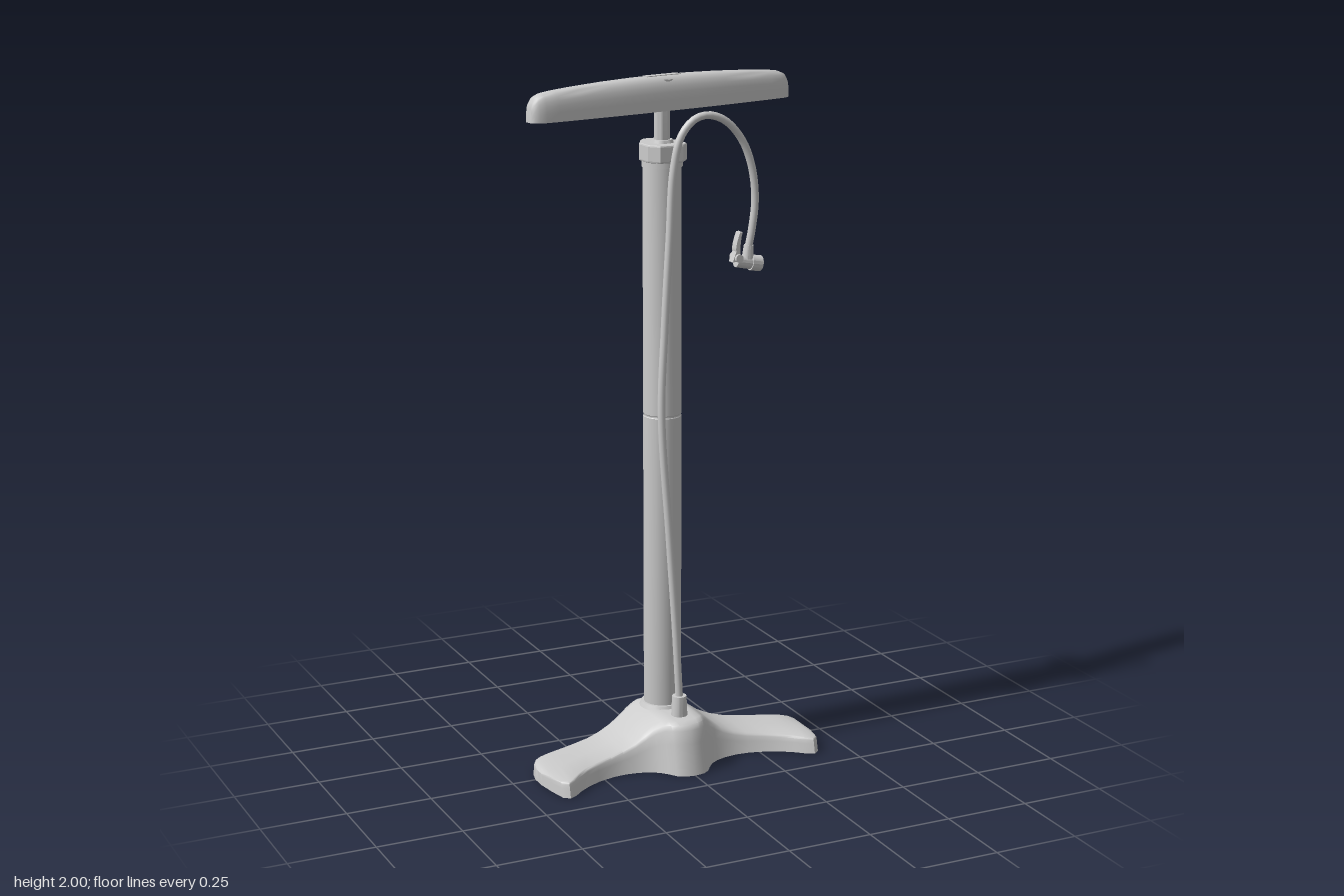
import * as THREE from 'three';
import { toCreasedNormals } from 'three/addons/utils/BufferGeometryUtils.js';

const grey = new THREE.MeshStandardMaterial({ color: 0xcccccc, side: THREE.DoubleSide });
const BORE_Z = -0.055;

function add(parent, name, geometry, x = 0, y = 0, z = 0) {
  const mesh = new THREE.Mesh(geometry, grey);
  mesh.name = name;
  mesh.position.set(x, y, z);
  parent.add(mesh);
  return mesh;
}

const cyl = (r1, r2, h, n = 24) => toCreasedNormals(new THREE.CylinderGeometry(r1, r2, h, n), 0.7);

// Mirrors stations [x, ...] about x = 0
const mirror = s => [...s.slice(1).reverse().map(([x, ...r]) => [-x, ...r]), ...s];

// Open-bottomed shell lofted along x; section(station, inset) gives [z, y] points front to back
function shell(stations, section, wall) {
  const rings = stations.map(s => {
    const outer = section(s, 0).map(([z, y]) => [s[0], y, z]);
    const inner = section(s, wall).map(([z, y]) => [s[0] * 0.98, y, z]).reverse();
    return [...outer, ...inner];
  });
  const n = rings[0].length, pos = [], idx = [];
  rings.forEach(r => r.forEach(p => pos.push(...p)));
  for (let i = 0; i < rings.length - 1; i++) {
    for (let j = 0; j < n; j++) {
      const k = (j + 1) % n, a = i * n + j, b = a + n, c = (i + 1) * n + k, d = i * n + k;
      idx.push(a, b, c, a, c, d);
    }
  }
  const g = new THREE.BufferGeometry();
  g.setAttribute('position', new THREE.Float32BufferAttribute(pos, 3));
  g.setIndex(idx);
  return toCreasedNormals(g, 0.75);
}

// Thin upright plate between two floor points
function plate(parent, name, [x1, z1], [x2, z2], y, h, t = 0.008) {
  const m = add(parent, name, new THREE.BoxGeometry(Math.hypot(x2 - x1, z2 - z1), h, t),
    (x1 + x2) / 2, y + h / 2, (z1 + z2) / 2);
  m.rotation.y = -Math.atan2(z2 - z1, x2 - x1);
}

function makeBase() {
  const base = new THREE.Group();
  base.name = 'base';
  // x, front z, back z, height
  const half = [
    [0, 0.17, -0.157, 0.15], [0.03, 0.165, -0.156, 0.15], [0.05, 0.152, -0.155, 0.149],
    [0.065, 0.13, -0.153, 0.143], [0.085, 0.107, -0.151, 0.128], [0.11, 0.091, -0.147, 0.106],
    [0.14, 0.081, -0.14, 0.084], [0.18, 0.076, -0.13, 0.066], [0.22, 0.079, -0.119, 0.056],
    [0.27, 0.093, -0.105, 0.051], [0.31, 0.112, -0.093, 0.049], [0.345, 0.136, -0.082, 0.048],
    [0.37, 0.158, -0.074, 0.047], [0.392, 0.17, -0.066, 0.045], [0.41, 0.155, -0.054, 0.043],
    [0.422, 0.1, -0.035, 0.04], [0.429, 0.05, -0.005, 0.034], [0.43, 0.045, 0, 0]];
  const section = ([, f, b, h], t) => {
    const F = f - t, B = b + t, H = Math.max(h - t, 0);
    return [[F, 0], [F - 0.15 * H, 0.6 * H], [F - 0.21 * H, 0.85 * H], [F - 0.27 * H, 0.95 * H], [F - 0.4 * H, H],
      [(F + B) / 2, H],
      [B + 0.34 * H, H], [B + 0.2 * H, 0.96 * H], [B + 0.13 * H, 0.85 * H], [B + 0.08 * H, 0.6 * H], [B, 0]];
  };
  add(base, 'footShell', shell(mirror(half), section, 0.008));

  // Zigzag stiffening ribs under the wings
  const zig = [[0.06, 0.09], [0.11, -0.13], [0.17, 0.06], [0.23, -0.1], [0.29, 0.085], [0.34, -0.065], [0.385, 0.14]];
  for (const s of [-1, 1]) {
    for (let i = 0; i < zig.length - 1; i++) {
      plate(base, 'footRib', [s * zig[i][0], zig[i][1]], [s * zig[i + 1][0], zig[i + 1][1]], 0.006, 0.03);
    }
  }
  plate(base, 'footSpine', [-0.41, 0], [0.41, 0], 0.006, 0.028);

  // Barrel socket and its lip
  add(base, 'socket', cyl(0.058, 0.058, 0.13), 0, 0.08, BORE_Z);
  add(base, 'socketLip', cyl(0.062, 0.068, 0.014), 0, 0.152, BORE_Z);
  return base;
}

function makeHandle() {
  const handle = new THREE.Group();
  handle.name = 'handle';
  // x, half width, height
  const half = [[0, 0.046, 0.095], [0.1, 0.046, 0.094], [0.2, 0.044, 0.091], [0.3, 0.04, 0.086], [0.37, 0.037, 0.081],
    [0.41, 0.034, 0.076], [0.43, 0.029, 0.068], [0.441, 0.022, 0.055], [0.446, 0.014, 0.038], [0.447, 0.012, 0]];
  const section = ([, w, h], t) => {
    const W = Math.max(w - t, 0.002), H = Math.max(h - t, 0), pts = [];
    for (let i = 0; i <= 14; i++) {
      const a = Math.PI * i / 14, c = Math.cos(a);
      pts.push([W * Math.sign(c) * Math.abs(c) ** 0.65, H * Math.max(Math.sin(a), 0) ** 0.75]);
    }
    return pts;
  };
  add(handle, 'grip', shell(mirror(half), section, 0.009));
  add(handle, 'topInset', new THREE.BoxGeometry(0.115, 0.006, 0.024), 0, 0.0925, 0);
  add(handle, 'rodBoss', cyl(0.034, 0.032, 0.08), 0, 0.045, 0);

  // Ribs in the hollow underside
  for (const s of [-1, 1]) {
    for (const x of [0.1, 0.19, 0.28, 0.36]) plate(handle, 'gripRib', [s * x, -0.028], [s * x, 0.028], 0.012, 0.05, 0.006);
  }
  plate(handle, 'gripSpine', [-0.42, 0], [0.42, 0], 0.012, 0.04, 0.006);
  handle.position.set(0, 1.905, -0.057);
  handle.rotation.y = 0.21;
  return handle;
}

function makeCollar() {
  const collar = new THREE.Group();
  collar.name = 'collar';
  // Eight-sided cap drawn in x and -z, drawn out to a tab at the back
  const shape = new THREE.Shape([[-0.035, 0.01], [0.035, 0.01], [0.06, -0.02], [0.062, -0.075],
    [0.035, -0.125], [0.02, -0.142], [-0.02, -0.142], [-0.035, -0.125], [-0.062, -0.075], [-0.06, -0.02]]
    .map(([x, z]) => new THREE.Vector2(x, -z)));
  const cap = new THREE.ExtrudeGeometry(shape, { depth: 0.04, bevelEnabled: true, bevelSize: 0.003, bevelThickness: 0.005, bevelOffset: -0.003, bevelSegments: 2 });
  add(collar, 'cap', cap.rotateX(-Math.PI / 2), 0, 1.767, 0);
  add(collar, 'rodBush', cyl(0.03, 0.034, 0.012), 0, 1.815, BORE_Z);
  add(collar, 'capSkirt', cyl(0.058, 0.058, 0.02, 32), 0, 1.755, BORE_Z);
  return collar;
}

function makeHose() {
  const hose = new THREE.Group();
  hose.name = 'hose';
  const path = new THREE.CatmullRomCurve3([
    [0, 0.2, 0.06], [-0.01, 0.4, 0.057], [-0.027, 0.7, 0.048], [-0.045, 1.05, 0.036], [-0.03, 1.3, 0.025],
    [-0.012, 1.55, 0.018], [0.002, 1.74, 0.014], [0.025, 1.835, 0.015], [0.065, 1.88, 0.016], [0.11, 1.89, 0.014],
    [0.165, 1.87, 0.012], [0.22, 1.81, 0.008], [0.252, 1.73, 0.005], [0.263, 1.64, 0.003], [0.255, 1.56, 0.002],
    [0.242, 1.49, 0]].map(p => new THREE.Vector3(...p)));
  add(hose, 'hoseTube', new THREE.TubeGeometry(path, 120, 0.011, 12));
  add(hose, 'hoseFitting', cyl(0.021, 0.024, 0.065, 16), 0, 0.177, 0.06);

  // Valve head: body, nozzle ring, ferrule and clamp lever
  const head = new THREE.Group();
  head.name = 'valveHead';
  head.position.set(0.235, 1.462, 0);
  head.rotation.z = -0.17;
  hose.add(head);
  add(head, 'valveBody', cyl(0.018, 0.02, 0.06, 16)).rotation.z = Math.PI / 2;
  add(head, 'nozzle', cyl(0.023, 0.023, 0.032, 16), 0.032, 0, 0).rotation.z = Math.PI / 2;
  add(head, 'ferrule', cyl(0.014, 0.017, 0.04, 16), 0.004, 0.03, 0).rotation.z = 0.08;
  add(head, 'leverPivot', cyl(0.012, 0.012, 0.044, 12), -0.03, 0.01, 0).rotation.x = Math.PI / 2;
  const lever = new THREE.Shape();
  lever.moveTo(-0.046, -0.004);
  lever.lineTo(-0.02, 0.004);
  lever.quadraticCurveTo(-0.034, 0.045, -0.03, 0.085);
  lever.lineTo(-0.038, 0.083);
  lever.quadraticCurveTo(-0.046, 0.04, -0.04, 0.028);
  add(head, 'lever', new THREE.ExtrudeGeometry(lever, { depth: 0.026, bevelEnabled: false }), 0, 0, -0.013);
  return hose;
}

export function createModel() {
  const model = new THREE.Group();
  model.name = 'floorPump';
  model.add(makeBase(), makeCollar(), makeHandle(), makeHose());

  // Barrel with a fine joint line halfway up
  const profile = [[0.054, 0.14], [0.055, 0.15], [0.055, 1.026], [0.0535, 1.028], [0.0535, 1.032], [0.055, 1.034], [0.055, 1.765]]
    .map(p => new THREE.Vector2(...p));
  add(model, 'barrel', toCreasedNormals(new THREE.LatheGeometry(profile, 32), 0.5), 0, 0, BORE_Z);
  add(model, 'pistonRod', cyl(0.023, 0.023, 0.18, 20), 0, 1.87, BORE_Z);
  return model;
}
